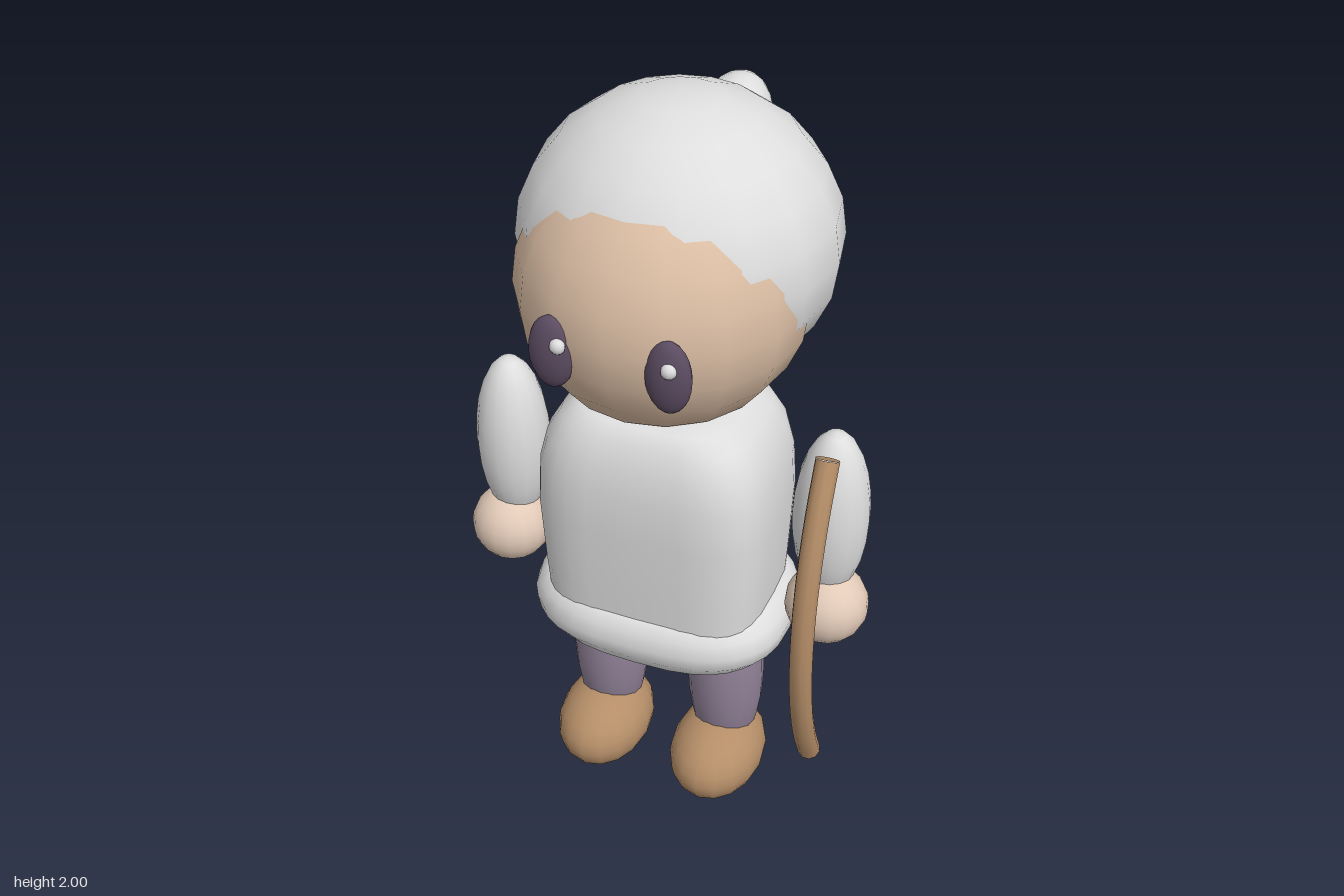
import * as THREE from 'three';

const paint = (name, color) => {
  const m = new THREE.MeshStandardMaterial({ color });
  m.name = name;
  return m;
};

export function createModel() {
  const model = new THREE.Group();
  model.name = 'archer';
  const white = paint('soft white', 0xdedede);
  const skin = paint('face skin', 0xd9bca3);
  const handSkin = paint('hand skin', 0xe2cab8);
  const purple = paint('trouser purple', 0x8f8096);
  const dark = paint('eye purple', 0x5c4c62);
  const brown = paint('leather brown', 0xb58e68);

  const add = (name, geometry, material) => {
    const mesh = new THREE.Mesh(geometry, material);
    mesh.name = name;
    model.add(mesh);
    return mesh;
  };
  const ellipsoid = (name, material, pos, radii, seg = 16, rows = 12) => {
    const mesh = add(name, new THREE.SphereGeometry(1, seg, rows), material);
    mesh.position.set(...pos);
    mesh.scale.set(...radii);
    return mesh;
  };

  // Loft of rounded-square sections [y, halfWidth, halfDepth], from bottom to top
  const loft = (name, material, sections, power, zCentre) => {
    const n = 32, pos = [], index = [];
    const round = (v) => Math.sign(v) * Math.abs(v) ** (2 / power);
    sections.forEach(([y, w, d]) => {
      for (let i = 0; i < n; i++) {
        const a = (i / n) * Math.PI * 2;
        pos.push(w * round(Math.sin(a)), y, zCentre + d * round(Math.cos(a)));
      }
    });
    for (let r = 0; r < sections.length - 1; r++) {
      for (let i = 0; i < n; i++) {
        const a = r * n + i, b = r * n + (i + 1) % n;
        index.push(a, b, b + n, a, b + n, a + n);
      }
    }
    const g = new THREE.BufferGeometry();
    g.setAttribute('position', new THREE.Float32BufferAttribute(pos, 3));
    g.setIndex(index);
    g.computeVertexNormals();
    return add(name, g, material);
  };

  // Head, hair and bun
  ellipsoid('face', skin, [0, 1.57, 0.1], [0.355, 0.343, 0.355]);
  ellipsoid('hair', white, [0, 1.64, 0], [0.39, 0.36, 0.385]);
  const bun = ellipsoid('bun', white, [0, 1.755, -0.328], [0.1, 0.16, 0.1]);
  bun.rotation.x = -0.93;

  // Tunic body and its padded hem
  loft('tunic', white, [
    [0.58, 0.29, 0.225], [0.75, 0.3, 0.235], [0.95, 0.308, 0.245], [1.07, 0.3, 0.242],
    [1.15, 0.28, 0.228], [1.21, 0.245, 0.205], [1.245, 0.2, 0.175], [1.257, 0.13, 0.11], [1.258, 0.001, 0.001],
  ], 3.6, 0.085);
  loft('hem', white, [
    [0.475, 0.001, 0.001], [0.481, 0.13, 0.1], [0.5, 0.24, 0.185], [0.535, 0.31, 0.235],
    [0.575, 0.343, 0.26], [0.615, 0.35, 0.266], [0.655, 0.337, 0.256], [0.683, 0.31, 0.235],
    [0.692, 0.27, 0.205], [0.692, 0.001, 0.001],
  ], 2.7, 0.085);

  // Mirrored limbs and eyes
  for (const s of [1, -1]) {
    const side = s > 0 ? 'left' : 'right';
    ellipsoid(side + 'Arm', white, [s * 0.435, 0.99, 0.088], [0.097, 0.25, 0.097]);
    ellipsoid(side + 'Hand', handSkin, [s * 0.445, 0.722, 0.112], [0.108, 0.106, 0.106]);
    ellipsoid(side + 'Leg', purple, [s * 0.17, 0.37, 0.09], [0.104, 0.3, 0.104]);
    ellipsoid(side + 'Shoe', brown, [s * 0.17, 0.118, 0.143], [0.128, 0.118, 0.174]);
    ellipsoid(side + 'Eye', dark, [s * 0.14, 1.533, 0.422], [0.056, 0.093, 0.032]);
    ellipsoid(side + 'EyeGlint', white, [s * 0.132 + 0.019, 1.567, 0.448], [0.019, 0.019, 0.016], 10, 8);
  }

  // Quiver slung across the back
  const quiver = ellipsoid('quiver', brown, [0, 1.145, -0.178], [0.1, 0.25, 0.097]);
  quiver.rotation.z = 0.6;

  // Bow: a shallow arc with closed ends
  const half = 0.508, radius = 1, x = 0.445, y = 0.745, zc = -0.685;
  const arc = [];
  for (let i = 0; i <= 8; i++) {
    const a = half * (i / 4 - 1);
    arc.push(new THREE.Vector3(x, y + radius * Math.sin(a), zc + radius * Math.cos(a)));
  }
  add('bow', new THREE.TubeGeometry(new THREE.CatmullRomCurve3(arc), 20, 0.03, 10), brown);
  for (const s of [1, -1]) {
    const tip = add('bowTip', new THREE.CircleGeometry(0.03, 10), brown);
    const end = arc[s > 0 ? 8 : 0];
    tip.position.copy(end);
    tip.lookAt(end.x, end.y + s * Math.cos(half), end.z - Math.sin(half));
  }

  return model;
}
